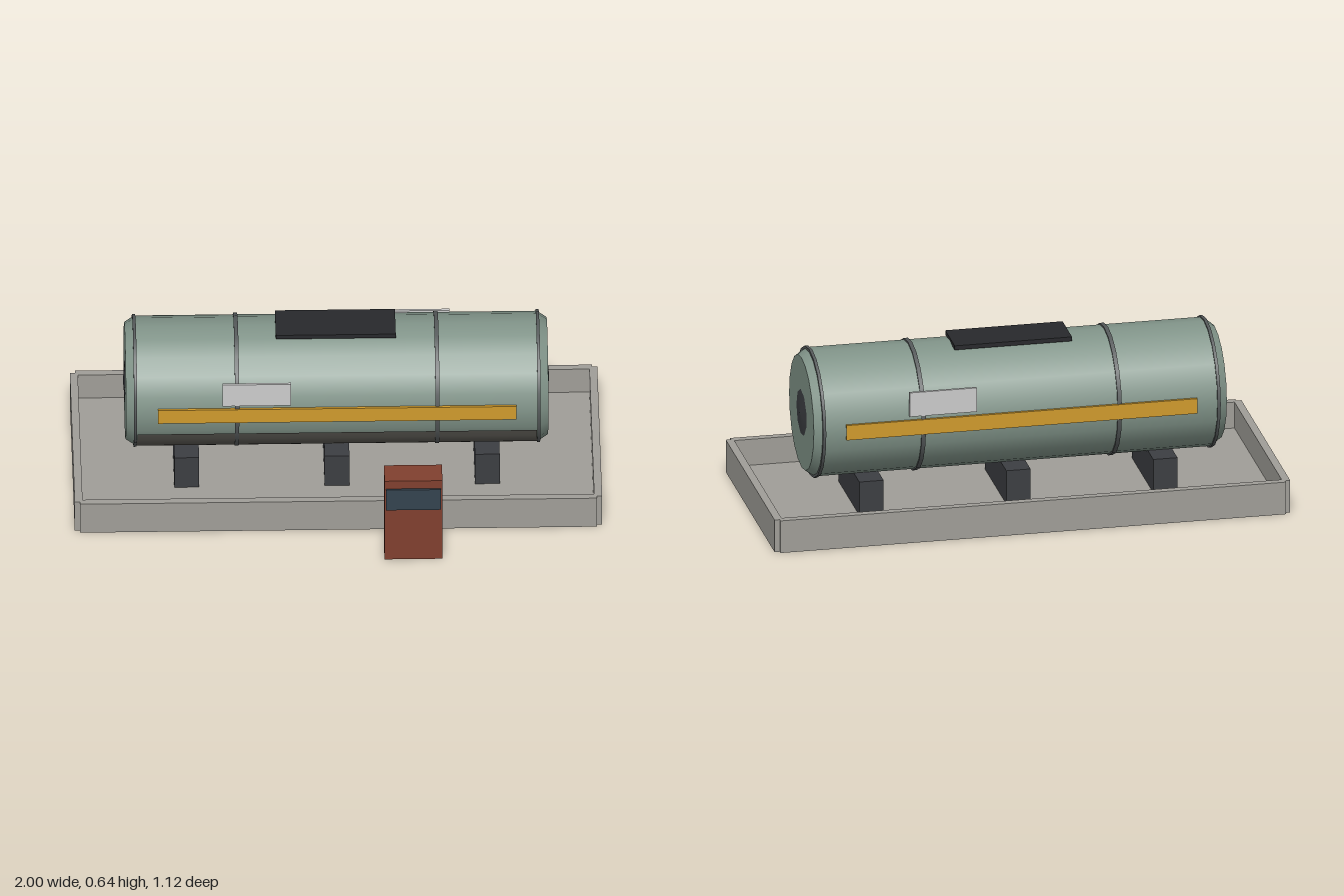
import * as THREE from 'three';

const mat = (color, opts = {}) => new THREE.MeshStandardMaterial({ color, ...opts });
const CZ = -0.108, CY = 0.388; // tank axis

export function createModel() {
  const model = new THREE.Group();
  const concrete = mat(0xa09e98), green = mat(0x82958a), dark = mat(0x3c3e42);
  const steel = mat(0x55595a), yellow = mat(0xd09a2c), white = mat(0xc4c4c4);
  const red = mat(0x81402f), black = mat(0x28292c), glass = mat(0x34434f);
  const under = mat(0x5c5a54, { side: THREE.DoubleSide });

  const add = (name, geo, material, parent = model) => {
    const mesh = new THREE.Mesh(geo, material);
    mesh.name = name;
    parent.add(mesh);
    return mesh;
  };
  // Box given by its extents on each axis
  const box = (name, [x0, x1], [y0, y1], [z0, z1], material, parent = model) => {
    const m = add(name, new THREE.BoxGeometry(x1 - x0, y1 - y0, z1 - z0), material, parent);
    m.position.set((x0 + x1) / 2, (y0 + y1) / 2, (z0 + z1) / 2);
    return m;
  };

  // Containment tray: floor and four walls
  const tray = new THREE.Group();
  tray.name = 'containmentTray';
  model.add(tray);
  box('trayFloor', [-0.98, 0.98], [0, 0.025], [-0.54, 0.325], concrete, tray);
  box('trayFrontWall', [-0.98, 0.98], [0, 0.13], [0.315, 0.345], concrete, tray);
  box('trayBackWall', [-0.98, 0.98], [0, 0.13], [-0.56, -0.53], concrete, tray);
  for (const s of [-1, 1]) {
    box('trayEndWall', s < 0 ? [-1, -0.97] : [0.97, 1], [0, 0.13], [-0.546, 0.33], concrete, tray);
  }

  // Saddles carrying the tank
  for (const x of [-0.57, 0, 0.57]) {
    box('saddle', [x - 0.047, x + 0.047], [0.025, 0.16], [-0.295, 0.083], dark);
  }

  // Tank group lies along x
  const tank = new THREE.Group();
  tank.name = 'tank';
  tank.position.set(0, CY, CZ);
  model.add(tank);
  const SIDES = 20;
  const along = (name, geo, material, x = 0) => {
    geo.rotateZ(-Math.PI / 2);
    const m = add(name, geo, material, tank);
    m.position.x = x;
    return m;
  };
  along('tankShell', new THREE.CylinderGeometry(0.246, 0.246, 1.53, SIDES, 1, true), green);
  for (const s of [-1, 1]) {
    // Bevelled end cap, flat end and access cover
    const [top, bottom] = s > 0 ? [0.222, 0.246] : [0.246, 0.222];
    along('tankEndCap', new THREE.CylinderGeometry(top, bottom, 0.037, SIDES), green, s * 0.7825);
    const cover = new THREE.ConeGeometry(0.104, 0.008, 9);
    if (s < 0) cover.rotateZ(Math.PI);
    along('accessCover', cover, dark, s * 0.804);
    // Rim and strap hoops
    for (const [x, w] of [[0.765, 0.012], [0.38, 0.016]]) {
      along('hoop', new THREE.CylinderGeometry(0.252, 0.252, w, SIDES), steel, s * x);
    }
  }

  // Dark splash strip along the lower front of the shell
  const arc = [];
  for (let i = 0; i <= 6; i++) {
    const a = THREE.MathUtils.degToRad(-22 - i * 9.5);
    arc.push([Math.cos(a) * 0.2485, Math.sin(a) * 0.2485]);
  }
  const pos = [], idx = [];
  arc.forEach(([z, y], i) => {
    pos.push(-0.758, y, z, 0.758, y, z);
    if (i) {
      const k = 2 * i;
      idx.push(k - 2, k, k + 1, k - 2, k + 1, k - 1);
    }
  });
  const strip = new THREE.BufferGeometry();
  strip.setAttribute('position', new THREE.Float32BufferAttribute(pos, 3));
  strip.setIndex(idx);
  strip.computeVertexNormals();
  add('lowerStrip', strip, under, tank);

  // Stripe and sign on both sides, the back being the front turned half round
  for (const turn of [0, Math.PI]) {
    const side = new THREE.Group();
    side.name = turn ? 'backMarkings' : 'frontMarkings';
    side.rotation.y = turn;
    tank.add(side);
    box('stripe', [-0.68, 0.68], [-0.03, 0.03], [0.238, 0.252], yellow, side);
    box('sign', [-0.435, -0.175], [0.045, 0.142], [0.239, 0.25], white, side);
  }

  // Top walkway plate
  box('topPlate', [-0.23, 0.225], [0.626, 0.643], [-0.193, -0.023], black);

  // Dispenser standing in front
  const pump = new THREE.Group();
  pump.name = 'dispenser';
  model.add(pump);
  box('dispenserBody', [0.17, 0.39], [0, 0.357], [0.442, 0.55], red, pump);
  box('dispenserScreen', [0.175, 0.385], [0.23, 0.322], [0.545, 0.559], glass, pump);

  return model;
}
